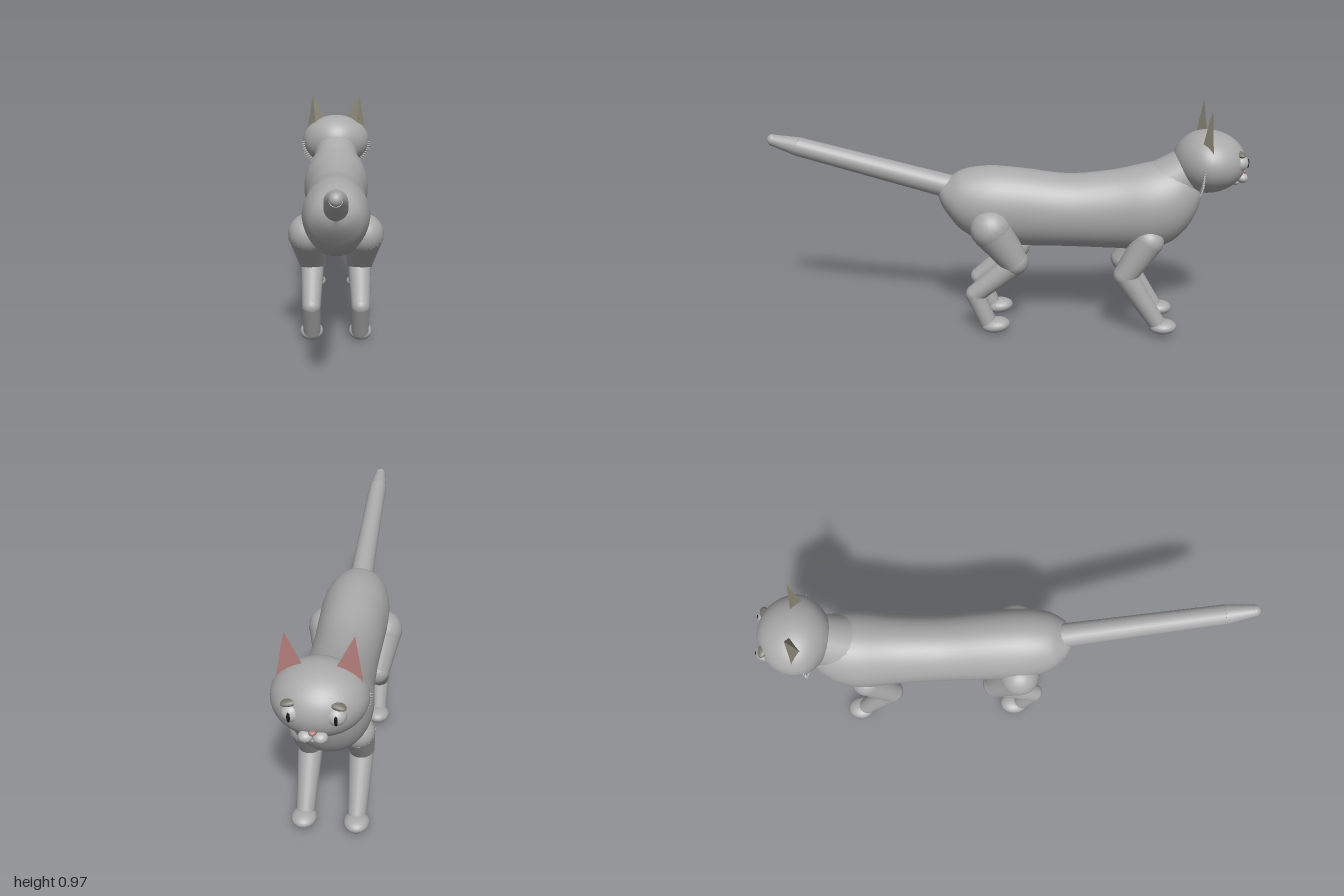
import * as THREE from 'three';
import { mergeVertices } from 'three/addons/utils/BufferGeometryUtils.js';

const mat = (name, color, side = THREE.FrontSide) => {
  const m = new THREE.MeshStandardMaterial({ color, side });
  m.name = name;
  return m;
};
const V = (x, y, z) => new THREE.Vector3(x, y, z);
const UP = V(0, 1, 0);

export function createModel() {
  const fur = mat('grey fur', 0xa9a9a9);
  const earFur = mat('ear fur', 0x8b8878, THREE.DoubleSide);
  const pink = mat('inner ear pink', 0xb07c78, THREE.DoubleSide);
  const brow = mat('brow', 0x77756a);
  const eyeMat = mat('eye', 0xb8b8b8);
  const black = mat('pupil black', 0x151515);

  const cat = new THREE.Group();
  cat.name = 'cat';

  const add = (parent, name, geo, material) => {
    const mesh = new THREE.Mesh(geo, material);
    mesh.name = name;
    parent.add(mesh);
    return mesh;
  };
  const ball = (parent, name, p, r, material = fur) => {
    const m = add(parent, name, new THREE.SphereGeometry(1, 24, 16), material);
    m.position.copy(p);
    m.scale.copy(typeof r === 'number' ? V(r, r, r) : r);
    return m;
  };
  // Tapered round segment from a to b
  const bone = (parent, name, a, b, ra, rb) => {
    const d = b.clone().sub(a);
    const m = add(parent, name, new THREE.CylinderGeometry(rb, ra, d.length(), 24), fur);
    m.position.copy(a).addScaledVector(d, 0.5);
    m.quaternion.setFromUnitVectors(UP, d.normalize());
    return m;
  };
  // Chain of tapered segments with rounded joints: [x, y, z, radius]
  const limb = (parent, name, joints) => joints.forEach(([x, y, z, r], i) => {
    ball(parent, name + 'Joint', V(x, y, z), r);
    if (i === 0) return;
    const [px, py, pz, pr] = joints[i - 1];
    bone(parent, name + 'Segment', V(px, py, pz), V(x, y, z), pr, r);
  });

  // Torso: elliptical cross-sections [z, bottom, top, half width], rump to chest
  const sections = [
    [0.283, 0.575, 0.605, 0.01], [0.265, 0.535, 0.635, 0.055], [0.23, 0.485, 0.66, 0.093],
    [0.18, 0.43, 0.69, 0.122], [0.07, 0.378, 0.708, 0.143], [-0.07, 0.37, 0.7, 0.14],
    [-0.26, 0.37, 0.68, 0.134], [-0.45, 0.367, 0.7, 0.14], [-0.6, 0.367, 0.735, 0.155],
    [-0.69, 0.398, 0.745, 0.143], [-0.75, 0.455, 0.735, 0.115], [-0.795, 0.54, 0.7, 0.07],
    [-0.815, 0.62, 0.65, 0.01],
  ];
  const lower = new THREE.CatmullRomCurve3(sections.map(([z, b, , w]) => V(w, b, z)));
  const rows = 60, cols = 40, pos = [], idx = [];
  const topCurve = new THREE.CatmullRomCurve3(sections.map(([z, , t, w]) => V(w, t, z)));
  for (let i = 0; i <= rows; i++) {
    const lo = lower.getPoint(i / rows), hi = topCurve.getPoint(i / rows);
    const cy = (lo.y + hi.y) / 2, ry = (hi.y - lo.y) / 2;
    for (let j = 0; j < cols; j++) {
      const a = (j / cols) * Math.PI * 2;
      pos.push(lo.x * Math.cos(a), cy + ry * Math.sin(a), lo.z);
      if (i === rows) continue;
      const k = (j + 1) % cols, p = i * cols, q = p + cols;
      idx.push(p + j, q + j, p + k, p + k, q + j, q + k);
    }
  }
  const torso = new THREE.BufferGeometry();
  torso.setAttribute('position', new THREE.Float32BufferAttribute(pos, 3));
  torso.setIndex(idx);
  torso.computeVertexNormals();
  add(cat, 'torso', torso, fur);

  // Neck
  bone(cat, 'neck', V(0, 0.625, -0.64), V(0, 0.72, -0.79), 0.115, 0.1);

  // Tail with a tapering tip
  const tail = new THREE.Group();
  tail.name = 'tail';
  cat.add(tail);
  bone(tail, 'tailLength', V(0, 0.61, 0.21), V(0, 0.778, 0.87), 0.05, 0.04);
  bone(tail, 'tailTip', V(0, 0.778, 0.87), V(0, 0.806, 0.985), 0.04, 0.023);
  ball(tail, 'tailEnd', V(0, 0.806, 0.977), 0.0235);

  // Legs
  for (const s of [1, -1]) {
    const side = s > 0 ? 'right' : 'left';
    const hind = new THREE.Group(), front = new THREE.Group();
    hind.name = side + 'HindLeg';
    front.name = side + 'FrontLeg';
    cat.add(hind, front);
    limb(hind, 'hindLeg', [[s * 0.115, 0.47, 0.052, 0.086], [s * 0.102, 0.325, -0.045, 0.058]]);
    limb(hind, 'hindShin', [[s * 0.102, 0.315, -0.045, 0.05], [s * 0.103, 0.175, 0.122, 0.039],
      [s * 0.103, 0.045, 0.065, 0.036]]);
    ball(hind, 'hindPaw', V(s * 0.105, 0.037, 0.034), V(0.05, 0.032, 0.062)).rotation.x = 0.12;
    limb(front, 'frontLeg', [[s * 0.098, 0.425, -0.595, 0.063], [s * 0.1, 0.275, -0.505, 0.049],
      [s * 0.1, 0.065, -0.645, 0.036]]);
    ball(front, 'frontPaw', V(s * 0.102, 0.048, -0.672), V(0.05, 0.03, 0.058)).rotation.x = 0.05;
  }

  // Head: rounded, narrowing toward the back
  const head = new THREE.Group();
  head.name = 'head';
  cat.add(head);
  let skull = new THREE.SphereGeometry(1, 40, 28);
  skull.deleteAttribute('uv');
  skull.deleteAttribute('normal');
  skull = mergeVertices(skull, 1e-4);
  const sp = skull.attributes.position;
  for (let i = 0; i < sp.count; i++) {
    const z = sp.getZ(i), back = Math.max(z, 0);
    sp.setXYZ(i, sp.getX(i) * 0.166 * (1 - 0.2 * back * back), 0.745 + sp.getY(i) * 0.127,
      -0.82 + z * (z < 0 ? 0.158 : 0.135));
  }
  skull.computeVertexNormals();
  add(head, 'skull', skull, fur);

  const triangles = (...corners) => {
    const g = new THREE.BufferGeometry().setFromPoints(corners);
    g.computeVertexNormals();
    return g;
  };
  for (const s of [1, -1]) {
    // Ear: pink front face, grey back faces
    const tip = V(s * 0.115, 0.976, -0.815), outer = V(s * 0.153, 0.76, -0.828);
    const inner = V(s * 0.036, 0.822, -0.828), rear = V(s * 0.1, 0.78, -0.778);
    add(head, 'earFront', triangles(...(s > 0 ? [tip, outer, inner] : [tip, inner, outer])), pink);
    add(head, 'earBack', triangles(...(s > 0 ? [tip, rear, outer, tip, inner, rear]
      : [tip, outer, rear, tip, rear, inner])), earFur);

    // Eye, slit pupil and brow
    ball(head, 'eye', V(s * 0.073, 0.757, -0.942), 0.034, eyeMat);
    ball(head, 'pupil', V(s * 0.076, 0.757, -0.9745), V(0.006, 0.019, 0.004), black);
    const b = ball(head, 'brow', V(s * 0.073, 0.793, -0.938), V(0.036, 0.012, 0.02), brow);
    b.rotation.set(0, s * 0.4, s * -0.12);

    // Whisker pad
    ball(head, 'whiskerPad', V(s * 0.024, 0.682, -0.966), V(0.025, 0.02, 0.023), eyeMat);

    // Cheek tufts along the jaw
    for (let i = 0; i < 12; i++) {
      const a = 0.05 - i * 0.085, dir = V(s * Math.cos(a), Math.sin(a) * 0.8, 0.25).normalize();
      const tuft = add(head, 'cheekTuft', new THREE.ConeGeometry(0.014, 0.045, 8), fur);
      tuft.position.set(s * Math.cos(a) * 0.153, 0.735 + Math.sin(a) * 0.122, -0.795);
      tuft.quaternion.setFromUnitVectors(UP, dir);
    }
  }
  // Nose and mouth
  ball(head, 'nose', V(0, 0.704, -0.975), V(0.013, 0.009, 0.012), pink);
  ball(head, 'chin', V(0, 0.661, -0.945), V(0.02, 0.015, 0.018), eyeMat);

  return cat;
}
